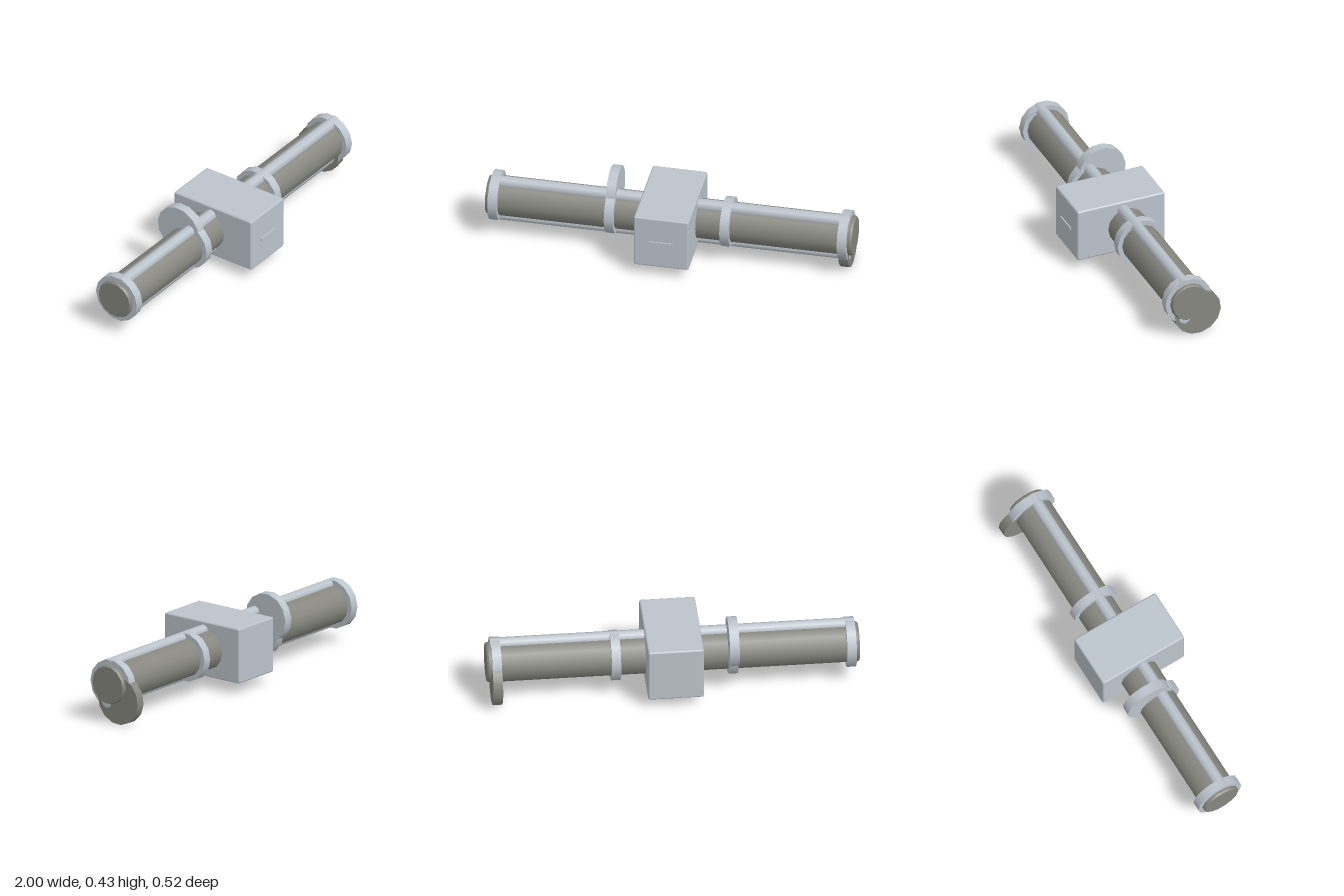
import * as THREE from 'three';
import { RoundedBoxGeometry } from 'three/addons/geometries/RoundedBoxGeometry.js';

export function createModel() {
  const model = new THREE.Group();
  model.name = 'tubeAssembly';

  const paleSteel = new THREE.MeshStandardMaterial({ color: 0xbcc4cc });
  paleSteel.name = 'paleSteel';
  const warmGrey = new THREE.MeshStandardMaterial({ color: 0x878780 });
  warmGrey.name = 'warmGrey';

  // Shared axis of the tube and its collars
  const AXIS_Y = 0.217, AXIS_Z = -0.035, SIDES = 14;

  function add(name, geometry, material, x, y, z) {
    const mesh = new THREE.Mesh(geometry, material);
    mesh.name = name;
    mesh.position.set(x, y, z);
    model.add(mesh);
    return mesh;
  }

  // Cylinder lying along x; rPlus is the radius at +x, rMinus at -x
  function barrel(rPlus, rMinus, length, sides = SIDES, twist = 0) {
    return new THREE.CylinderGeometry(rMinus, rPlus, length, sides)
      .rotateZ(Math.PI / 2)
      .rotateX(twist);
  }

  // Long tube with narrow chamfered ends
  add('tube', barrel(0.108, 0.108, 1.98), warmGrey, 0, AXIS_Y, AXIS_Z);
  add('leftTubeEnd', barrel(0.102, 0.108, 0.01), warmGrey, 0.995, AXIS_Y, AXIS_Z);
  add('rightTubeEnd', barrel(0.108, 0.102, 0.01), warmGrey, -0.995, AXIS_Y, AXIS_Z);

  // Collars around the tube
  for (const x of [-0.955, -0.32, 0.31, 0.95]) {
    add('collar', barrel(0.135, 0.135, 0.05), paleSteel, x, AXIS_Y, AXIS_Z);
  }

  // Rails running above and below the tube
  for (const side of [1, -1]) {
    add(side > 0 ? 'topRail' : 'bottomRail', barrel(0.034, 0.034, 1.954, 8),
      paleSteel, 0, AXIS_Y + side * 0.102, -0.013);
  }

  // Offset discs: one raised, one hanging at the end
  add('raisedDisc', barrel(0.135, 0.135, 0.052, SIDES, 0.075), paleSteel, -0.32, 0.299, -0.0875);
  add('loweredDisc', barrel(0.135, 0.135, 0.052, SIDES, -0.075), warmGrey, 0.95, 0.136, -0.0875);

  // Central housing with chamfered edges and a small front bar
  add('housing', new RoundedBoxGeometry(0.3, 0.306, 0.51, 1, 0.01), paleSteel, -0.001, 0.217, -0.003);
  add('frontBar', new THREE.BoxGeometry(0.13, 0.016, 0.02), paleSteel, -0.001, 0.217, 0.249);

  return model;
}
